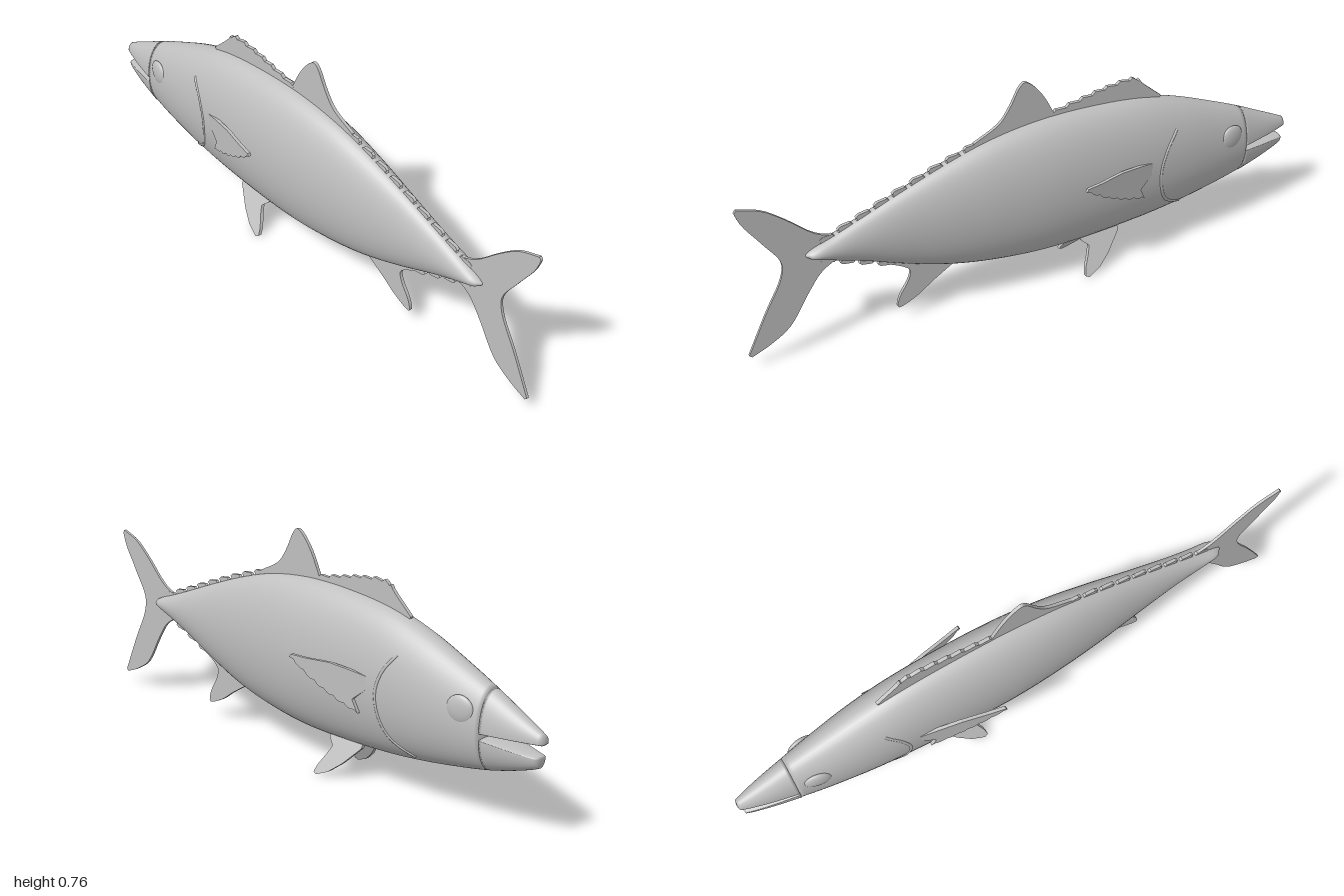
import * as THREE from 'three';

// Body outline stations: x, top, bottom, half width
const STATIONS = [
  [-1.0, 0.347, 0.25, 0.018], [-0.97, 0.362, 0.236, 0.028], [-0.9, 0.396, 0.212, 0.045],
  [-0.81, 0.44, 0.187, 0.062], [-0.7, 0.488, 0.165, 0.08], [-0.55, 0.548, 0.141, 0.098],
  [-0.4, 0.59, 0.125, 0.107], [-0.2, 0.612, 0.115, 0.111], [-0.02, 0.613, 0.117, 0.109],
  [0.15, 0.592, 0.137, 0.097], [0.3, 0.552, 0.169, 0.08], [0.45, 0.5, 0.22, 0.06],
  [0.6, 0.443, 0.283, 0.044], [0.7, 0.406, 0.322, 0.037], [0.75, 0.39, 0.342, 0.034],
  [0.775, 0.38, 0.352, 0.026], [0.787, 0.371, 0.361, 0.01],
];

// Smooth (Hermite) lookup of one station column
function at(x, k) {
  const S = STATIONS, n = S.length;
  let i = 0;
  while (i < n - 2 && x > S[i + 1][0]) i++;
  const slope = (j) => {
    const a = S[Math.max(j - 1, 0)], b = S[Math.min(j + 1, n - 1)];
    return (b[k] - a[k]) / (b[0] - a[0]);
  };
  const d = S[i + 1][0] - S[i][0], t = (x - S[i][0]) / d, t2 = t * t, t3 = t2 * t;
  return S[i][k] * (2 * t3 - 3 * t2 + 1) + slope(i) * d * (t3 - 2 * t2 + t)
    + S[i + 1][k] * (3 * t2 - 2 * t3) + slope(i + 1) * d * (t3 - t2);
}
const top = (x) => at(x, 1);
const bottom = (x) => at(x, 2);
const width = (x) => at(x, 3);

// Half thickness of the body at a point of its side
function surfaceZ(x, y) {
  const mid = (top(x) + bottom(x)) / 2, h = (top(x) - bottom(x)) / 2;
  return width(x) * Math.sqrt(Math.max(0, 1 - ((y - mid) / h) ** 2));
}

// Closed loft along x; section(x) gives [middle, height above, height below, half width]
function loft(x0, x1, steps, section) {
  const N = 48, pos = [], index = [];
  for (let i = 0; i <= steps; i++) {
    const x = x0 + (x1 - x0) * i / steps, [mid, up, down, w] = section(x);
    for (let j = 0; j < N; j++) {
      const a = j / N * Math.PI * 2, s = Math.sin(a);
      pos.push(x, mid + s * (s > 0 ? up : down), w * Math.cos(a));
    }
  }
  const c0 = pos.length / 3, c1 = c0 + 1;
  pos.push(x0 - 0.004, section(x0)[0], 0, x1 + 0.003, section(x1)[0], 0);
  for (let j = 0; j < N; j++) {
    const k = (j + 1) % N, e = steps * N;
    for (let i = 0; i < steps; i++) {
      const r = i * N, q = r + N;
      index.push(r + j, q + j, q + k, r + j, q + k, r + k);
    }
    index.push(c0, j, k, c1, e + k, e + j);
  }
  const g = new THREE.BufferGeometry();
  g.setAttribute('position', new THREE.Float32BufferAttribute(pos, 3));
  g.setIndex(index);
  g.computeVertexNormals();
  return g;
}

// Thin plate from an outline, sheared sideways by zRule(x, y)
function plate(points, thickness, zRule = () => 0) {
  const shape = new THREE.Shape(points.map(([x, y]) => new THREE.Vector2(x, y)));
  const g = new THREE.ExtrudeGeometry(shape, { depth: thickness, bevelEnabled: false });
  const p = g.attributes.position;
  for (let i = 0; i < p.count; i++) {
    p.setZ(i, p.getZ(i) - thickness / 2 + zRule(p.getX(i), p.getY(i)));
  }
  g.computeVertexNormals();
  return g;
}

// Rounded outline through a few points
function smooth(points, n = 40) {
  const c = new THREE.CatmullRomCurve3(points.map(([x, y]) => new THREE.Vector3(x, y, 0)), false, 'centripetal');
  return c.getPoints(n).map((v) => [v.x, v.y]);
}

export function createModel() {
  const model = new THREE.Group();
  const skin = new THREE.MeshStandardMaterial({ color: 0xc0c0c0 });
  skin.name = 'grey skin';
  const add = (name, geometry) => {
    const m = new THREE.Mesh(geometry, skin);
    m.name = name;
    model.add(m);
    return m;
  };

  // Body and the two halves of the open mouth
  add('body', loft(-0.81, 0.787, 110, (x) => {
    const h = (top(x) - bottom(x)) / 2;
    return [bottom(x) + h, h, h, width(x)];
  }));
  add('upperJaw', loft(-1, -0.81, 20, (x) => {
    const lip = 0.321 - (x + 1) * 0.04;
    return [lip, top(x) - lip, 0.005, width(x)];
  }));
  add('lowerJaw', loft(-0.99, -0.81, 20, (x) => {
    const lip = 0.274 + (x + 1) * 0.09;
    return [lip, 0.007, lip - bottom(x), width(x) * 0.97];
  }));

  // Tail fin
  add('tailFin', plate([
    ...smooth([[0.68, 0.405], [0.75, 0.435], [0.84, 0.515], [0.91, 0.568], [0.985, 0.595]], 16),
    ...smooth([[0.992, 0.585], [0.975, 0.54], [0.92, 0.455], [0.866, 0.365], [0.872, 0.31], [0.93, 0.2], [1, 0.058]], 30),
    ...smooth([[0.992, 0.05], [0.93, 0.075], [0.86, 0.12], [0.79, 0.225], [0.74, 0.29], [0.68, 0.325]], 20),
  ], 0.009));

  // Spiny first back fin with a scalloped edge
  const crest = smooth([[-0.48, 0.578], [-0.42, 0.63], [-0.38, 0.664], [-0.28, 0.662], [-0.18, 0.645], [-0.07, 0.625]], 44)
    .map(([x, y], i) => [x, y + (i > 12 ? 0.006 * ((i % 4) / 2 - 0.7) : 0)]);
  add('firstBackFin', plate([...crest, [-0.07, 0.59], [-0.25, 0.58], [-0.46, 0.55]], 0.012));

  add('secondBackFin', plate([
    [-0.1, 0.59], [-0.1, 0.617],
    ...smooth([[-0.075, 0.625], [-0.035, 0.7], [0.005, 0.748], [0.03, 0.762], [0.048, 0.748],
      [0.08, 0.69], [0.12, 0.638], [0.21, 0.592]], 30),
    [0.21, 0.55],
  ], 0.011));

  add('analFin', plate([
    [0.27, 0.21],
    ...smooth([[0.29, 0.17], [0.37, 0.122], [0.43, 0.082], [0.495, 0.06], [0.488, 0.1],
      [0.455, 0.155], [0.447, 0.19], [0.47, 0.213], [0.52, 0.24]], 30),
    [0.52, 0.28],
  ], 0.011));

  // Rows of small finlets leading to the tail
  const finlets = (name, edge, sign, from) => {
    for (let x = from; x < 0.7; x += 0.062) {
      add(name, plate([
        [x - 0.01, edge(x - 0.01) - sign * 0.02],
        [x + 0.012, edge(x + 0.012) + sign * 0.009],
        [x + 0.046, edge(x + 0.046) + sign * 0.017],
        [x + 0.056, edge(x + 0.056) + sign * 0.012],
        [x + 0.05, edge(x + 0.05) + sign * 0.004],
        [x + 0.064, edge(x + 0.064) - sign * 0.015],
      ], 0.011));
    }
  };
  finlets('upperFinlet', top, 1, 0.19);
  finlets('lowerFinlet', bottom, -1, 0.5);

  // Paired parts
  for (const side of [1, -1]) {
    const tag = side > 0 ? 'left' : 'right';

    // Side fin, sweeping away from the body
    const trailing = smooth([[-0.11, 0.4], [-0.2, 0.34], [-0.28, 0.3], [-0.365, 0.268]], 20)
      .map(([x, y], i) => [x, y + (i % 3 === 1 ? 0.006 : 0)]);
    add(tag + 'SideFin', plate([
      [-0.4, 0.355], [-0.4, 0.392], [-0.35, 0.4], [-0.26, 0.411], [-0.17, 0.408], [-0.115, 0.41],
      ...trailing, [-0.345, 0.31],
    ], 0.011, (x) => side * (0.102 + (x + 0.39) * 0.2)));

    // Belly fin, splayed downwards
    add(tag + 'BellyFin', plate([
      [-0.31, 0.14], [-0.31, 0.118], [-0.255, 0.06], [-0.21, 0.025], [-0.165, 0.006], [-0.152, 0.012],
      [-0.158, 0.035], [-0.18, 0.075], [-0.19, 0.098], [-0.165, 0.12], [-0.165, 0.14],
    ], 0.013, (x, y) => side * (0.033 + (0.12 - y) * 0.54)));

    // Low bulging eye
    const eye = add(tag + 'Eye', new THREE.SphereGeometry(1, 28, 18));
    eye.scale.set(0.046, 0.044, 0.014);
    eye.position.set(-0.74, 0.37, side * (surfaceZ(-0.74, 0.37) - 0.005));
    eye.rotation.y = side * -0.15;

    // Ridge around the gill cover
    const rim = smooth([[-0.5, 0.48], [-0.455, 0.42], [-0.432, 0.35], [-0.442, 0.27], [-0.475, 0.21], [-0.55, 0.163]], 24)
      .map(([x, y]) => new THREE.Vector3(x, y, side * (surfaceZ(x, y) - 0.003)));
    add(tag + 'GillRidge', new THREE.TubeGeometry(new THREE.CatmullRomCurve3(rim), 60, 0.006, 8));
  }
  return model;
}
